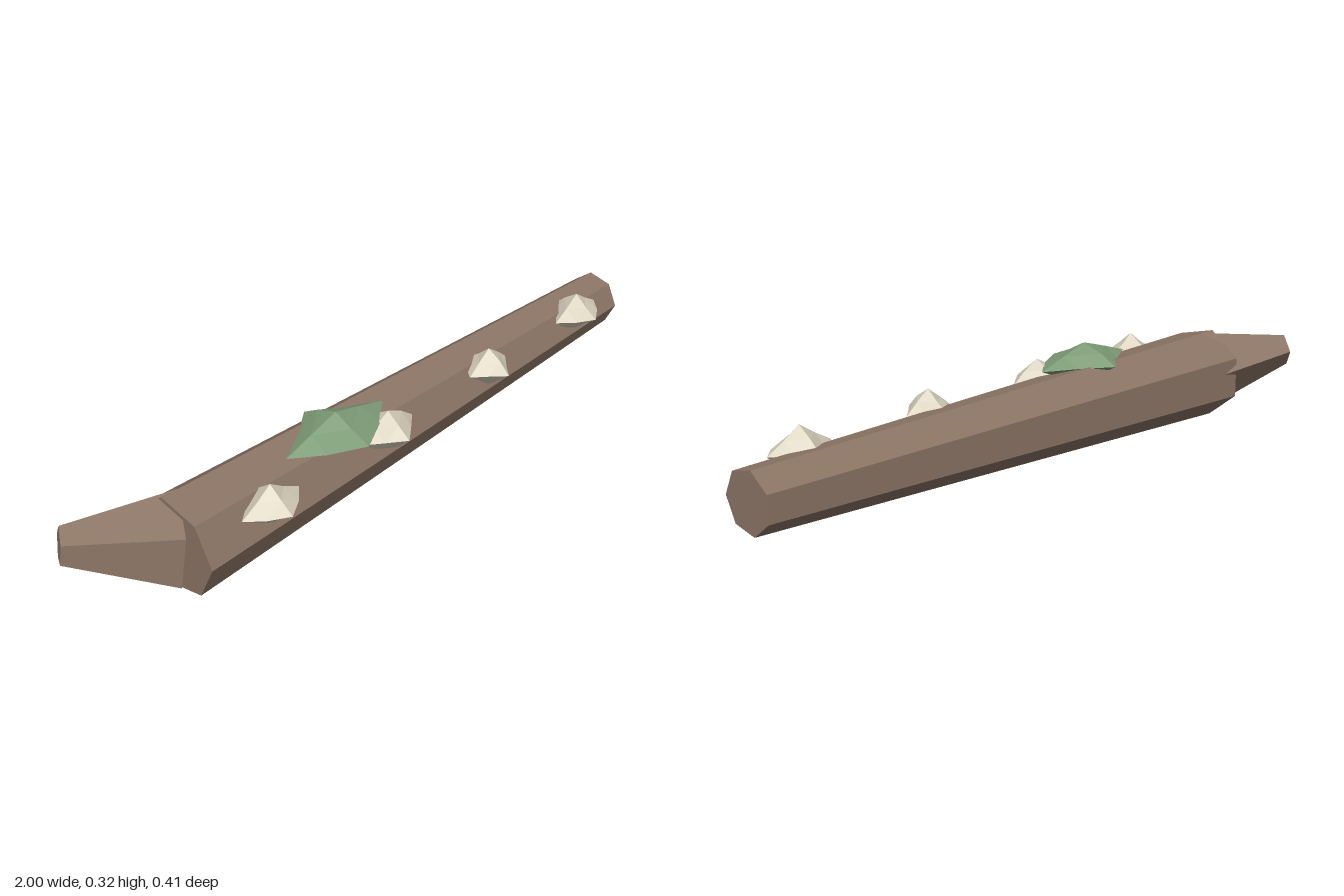
import * as THREE from 'three';

const material = (color) => new THREE.MeshStandardMaterial({ color, flatShading: true });

function addPart(group, name, geometry, mat) {
  const mesh = new THREE.Mesh(geometry, mat);
  mesh.name = name;
  group.add(mesh);
  return mesh;
}

// Faceted clump: six long tips on the axes, lower shoulders between them
function clumpGeometry(seed) {
  const geo = new THREE.OctahedronGeometry(1, 1);
  const p = geo.attributes.position;
  const v = new THREE.Vector3();
  for (let i = 0; i < p.count; i++) {
    v.fromBufferAttribute(p, i);
    const tip = Math.max(Math.abs(v.x), Math.abs(v.y), Math.abs(v.z)) > 0.9;
    if (!tip) {
      // the same corner always gets the same variation
      const wave = Math.sin(seed * 2.3 + Math.round(v.x * 2) * 3.1 + Math.round(v.y * 2) * 5.7 + Math.round(v.z * 2) * 1.9);
      v.multiplyScalar(0.73 + 0.07 * wave);
    }
    p.setXYZ(i, v.x, v.y, v.z);
  }
  geo.computeVertexNormals();
  return geo;
}

export function createModel() {
  const model = new THREE.Group();
  model.name = 'fallenLog';
  const bark = material(0x8b7565);
  const pale = material(0xd8d0bc);
  const green = material(0x7d9b76);

  // Trunk: seven-sided taper along x, with its centre line shifting towards the thin end
  const trunk = new THREE.CylinderGeometry(0.085, 0.142, 1.74, 7);
  trunk.rotateZ(-Math.PI / 2);
  const p = trunk.attributes.position;
  for (let i = 0; i < p.count; i++) {
    const t = p.getX(i) / 1.74 + 0.5;
    p.setXYZ(i, p.getX(i) + 0.125,
      p.getY(i) + THREE.MathUtils.lerp(0.14, 0.155, t),
      p.getZ(i) + THREE.MathUtils.lerp(-0.01, 0.047, t));
  }
  trunk.computeVertexNormals();
  addPart(model, 'trunk', trunk, bark);

  // Branch stub: five-sided taper angled back from the thick end
  const base = new THREE.Vector3(-0.73, 0.155, -0.015);
  const tip = new THREE.Vector3(-0.975, 0.197, -0.165);
  const axis = tip.clone().sub(base);
  const length = axis.length();
  axis.normalize();
  const back = new THREE.Vector3(-axis.z, 0, axis.x).normalize();
  const side = new THREE.Vector3().crossVectors(axis, back);
  const stub = new THREE.CylinderGeometry(0.051, 0.13, length, 5);
  stub.applyMatrix4(new THREE.Matrix4().makeBasis(side, axis, back));
  stub.translate(...base.clone().add(tip).multiplyScalar(0.5).toArray());
  addPart(model, 'branchStub', stub, bark);

  // Pale mushrooms along the front shoulder
  [[-0.53, 0.1], [-0.09, 0.1], [0.345, 0.082], [0.78, 0.1]].forEach(([x, width], i) => {
    const cap = addPart(model, 'mushroom' + (i + 1), clumpGeometry(i + 1), pale);
    cap.position.set(x, 0.22, 0.12);
    cap.scale.set(width, 0.062, 0.078);
  });

  // Moss patch on top
  const moss = addPart(model, 'mossPatch', clumpGeometry(7), green);
  moss.position.set(-0.225, 0.262, 0.055);
  moss.scale.set(0.185, 0.055, 0.12);

  return model;
}
